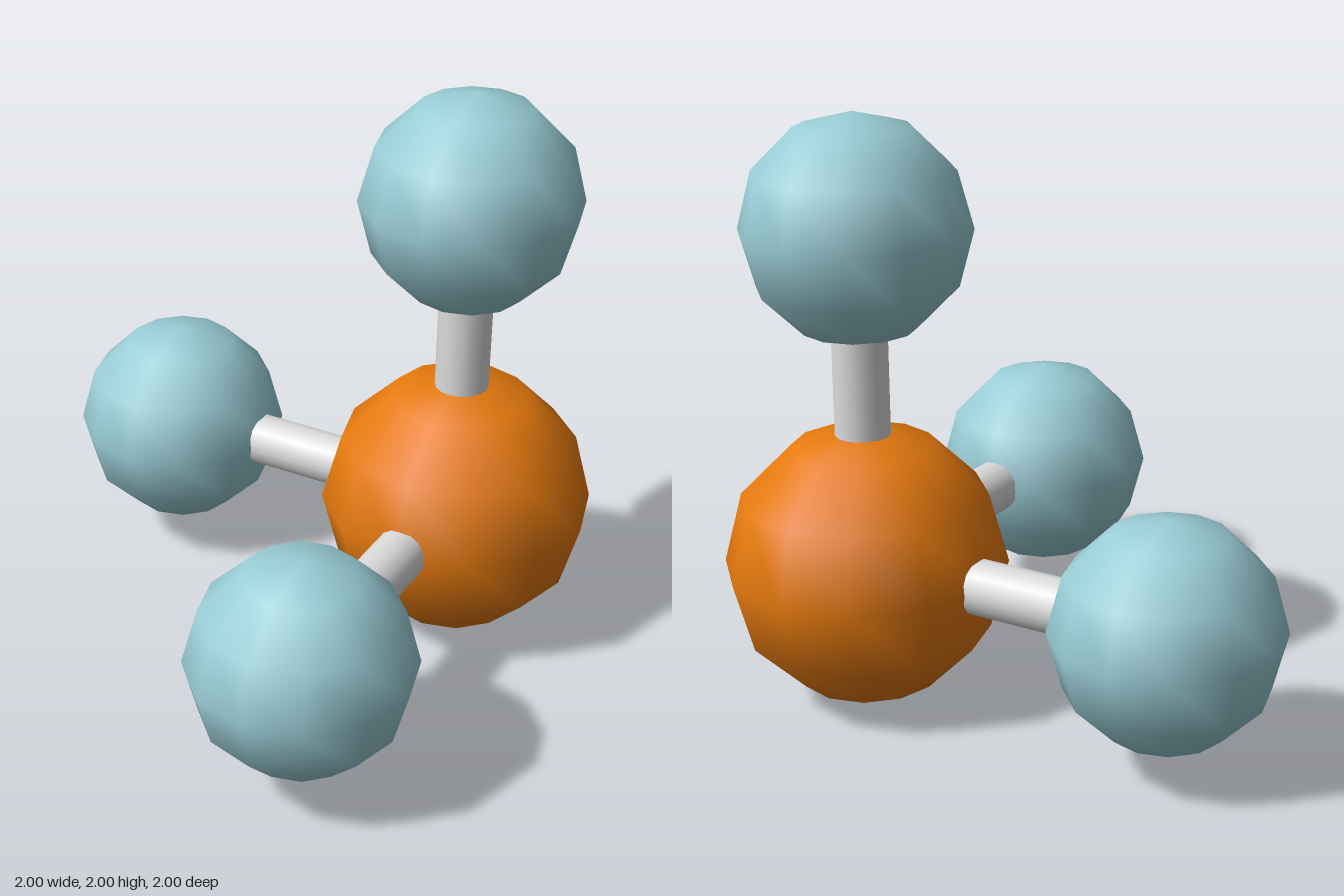
import * as THREE from 'three';

export function createModel() {
  const group = new THREE.Group();
  const material = (name, color) => {
    const m = new THREE.MeshStandardMaterial({ color });
    m.name = name;
    return m;
  };
  const orange = material('orange', 0xe67a0e);
  const paleBlue = material('pale blue', 0x9acdd6);
  const lightGrey = material('light grey', 0xdcdcdc);

  const center = new THREE.Vector3(0.523, 0.48, -0.523);
  const reach = 1.142;

  // Low-poly ball with smooth normals
  const addBall = (name, radius, position, mat) => {
    const ball = new THREE.Mesh(new THREE.SphereGeometry(radius, 12, 6), mat);
    ball.name = name;
    ball.position.copy(position);
    group.add(ball);
  };

  addBall('centreBall', 0.476, center, orange);

  // Three rods at right angles, each ending in a smaller ball
  const arms = { top: [0, 1, 0], right: [-1, 0, 0], front: [0, 0, 1] };
  const up = new THREE.Vector3(0, 1, 0);
  for (const [side, axis] of Object.entries(arms)) {
    const dir = new THREE.Vector3(...axis);
    addBall(`${side}Ball`, 0.379, center.clone().addScaledVector(dir, reach), paleBlue);

    const rod = new THREE.Mesh(new THREE.CylinderGeometry(0.093, 0.093, reach, 16), lightGrey);
    rod.name = `${side}Rod`;
    rod.position.copy(center).addScaledVector(dir, reach / 2);
    rod.quaternion.setFromUnitVectors(up, dir);
    group.add(rod);
  }
  return group;
}
